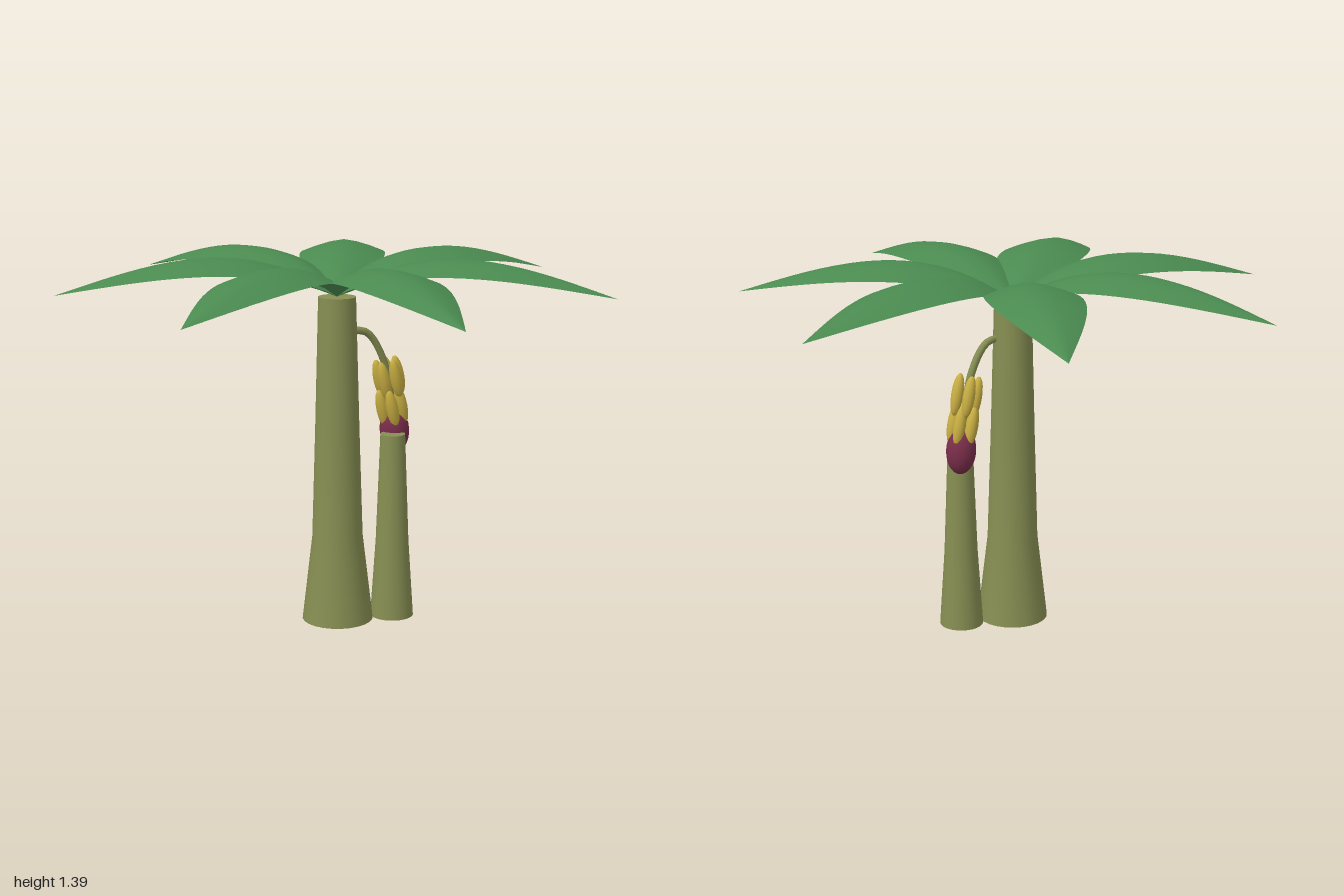
import * as THREE from 'three';

const mat = (name, color, side = THREE.FrontSide) => {
  const m = new THREE.MeshStandardMaterial({ color, side });
  m.name = name;
  return m;
};

// Arched leaf lying along +x, drooping at its edges and tip
function leafGeometry(length, halfWidth) {
  const geo = new THREE.PlaneGeometry(1, 2, 20, 6);
  const pos = geo.attributes.position;
  for (let i = 0; i < pos.count; i++) {
    const t = pos.getX(i) + 0.5;
    const s = pos.getY(i);
    const bulge = Math.max(0, Math.sin(Math.PI * Math.pow(t, 0.8)));
    const w = halfWidth * bulge;
    const y = 0.03 * t + 0.14 * bulge - 0.28 * w * Math.pow(Math.abs(s), 1.5);
    pos.setXYZ(i, length * t, y, -s * w);
  }
  geo.computeVertexNormals();
  return geo;
}

export function createModel() {
  const group = new THREE.Group();
  const bark = mat('trunk green', 0x868e52);
  const green = mat('leaf green', 0x4a8a50, THREE.DoubleSide);
  const yellow = mat('fruit yellow', 0xc8ae42);
  const purple = mat('bud purple', 0x7a2e4a);

  const add = (name, geo, material, x = 0, y = 0, z = 0, parent = group) => {
    const mesh = new THREE.Mesh(geo, material);
    mesh.name = name;
    mesh.position.set(x, y, z);
    parent.add(mesh);
    return mesh;
  };

  // Tapering stem with a flared foot and flat caps
  const stem = (name, profile, x, z) => {
    const points = profile.map(([r, y]) => new THREE.Vector2(r, y));
    const height = points[points.length - 1].y;
    const part = new THREE.Group();
    part.name = name;
    part.position.set(x, 0, z);
    group.add(part);
    add(name + 'Side', new THREE.LatheGeometry(points, 24), bark, 0, 0, 0, part);
    add(name + 'Top', new THREE.CircleGeometry(points[points.length - 1].x, 24), bark, 0, height, 0, part)
      .rotation.x = -Math.PI / 2;
    add(name + 'Base', new THREE.CircleGeometry(points[0].x, 24), bark, 0, 0, 0, part)
      .rotation.x = Math.PI / 2;
  };
  stem('trunk', [[0.135, 0], [0.096, 0.33], [0.083, 0.75], [0.07, 1.24]], -0.052, 0);
  stem('sideShoot', [[0.083, 0], [0.063, 0.3], [0.047, 0.715]], 0.138, 0.093);

  // Crown of seven leaves
  const leafGeo = leafGeometry(1.02, 0.167);
  const crown = new THREE.Group();
  crown.name = 'crown';
  crown.position.set(-0.052, 1.24, 0);
  group.add(crown);
  for (let i = 0; i < 7; i++) {
    add('leaf', leafGeo, green, 0, 0, 0, crown).rotation.y = (i / 7) * Math.PI * 2;
  }

  // Hanging stalk
  const path = new THREE.CatmullRomCurve3([
    [-0.02, 1.115, 0.028], [0.06, 1.1, 0.035], [0.125, 1.0, 0.045],
    [0.16, 0.87, 0.045], [0.185, 0.72, 0.045],
  ].map((p) => new THREE.Vector3(...p)));
  add('fruitStalk', new THREE.TubeGeometry(path, 20, 0.014, 8), bark);

  // Two rings of fruit around the stalk
  const fruitGeo = new THREE.SphereGeometry(1, 12, 10).scale(0.023, 0.078, 0.023);
  [[0.155, 0.92, 0.2], [0.167, 0.81, 0.9]].forEach(([x, y, turn]) => {
    const hand = new THREE.Group();
    hand.name = 'fruitHand';
    hand.position.set(x, y, 0.047);
    hand.rotation.z = 0.25;
    group.add(hand);
    for (let i = 0; i < 5; i++) {
      const a = turn + (i / 5) * Math.PI * 2;
      add('fruit', fruitGeo, yellow, 0.038 * Math.cos(a), 0, 0.038 * Math.sin(a), hand);
    }
  });

  // Flower bud at the end of the stalk
  const budGeo = new THREE.SphereGeometry(1, 20, 14).scale(0.056, 0.09, 0.056);
  add('flowerBud', budGeo, purple, 0.183, 0.717, 0.045).rotation.z = 0.1;

  return group;
}
